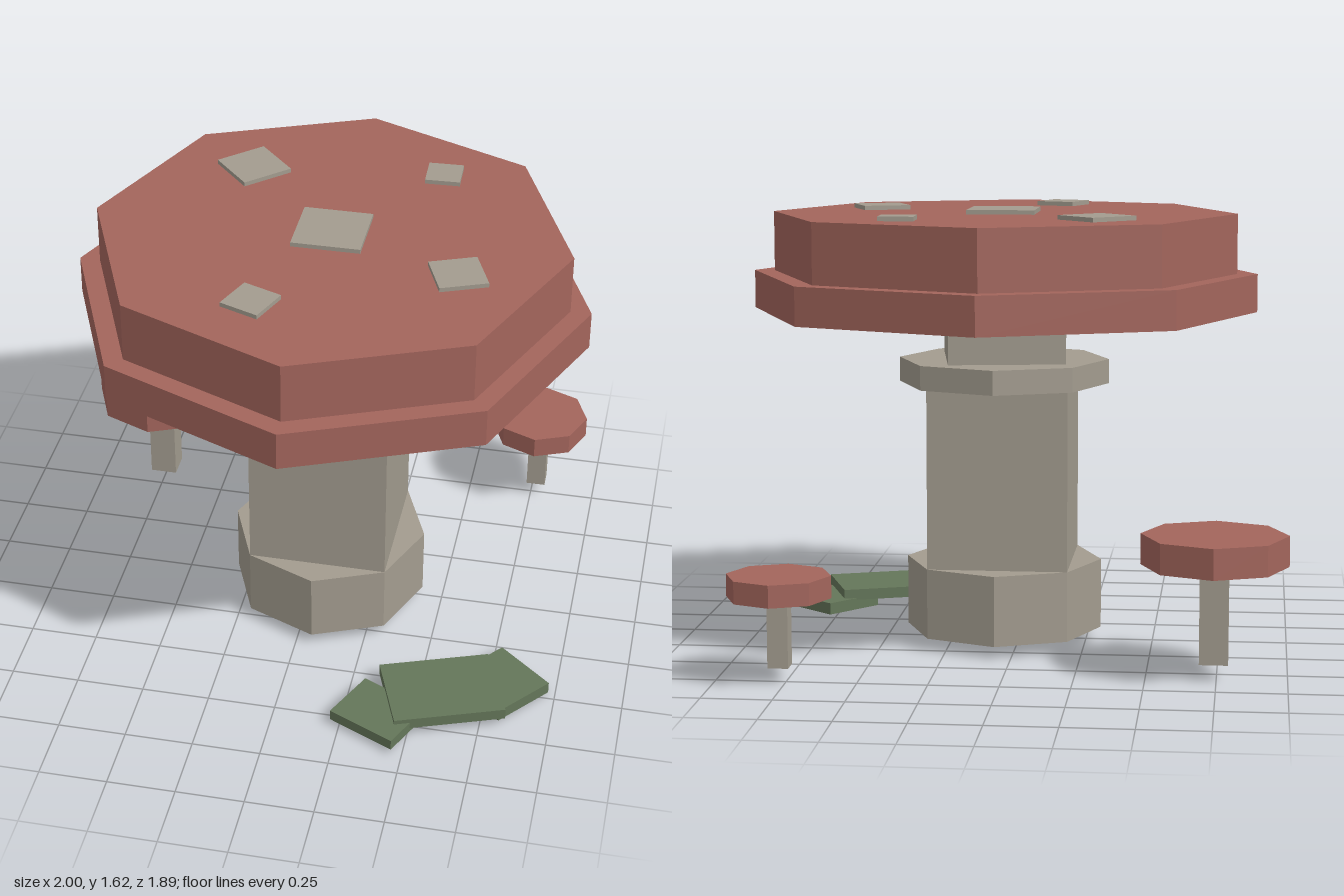
import * as THREE from 'three';

const mat = (name, color) => {
  const m = new THREE.MeshStandardMaterial({ color });
  m.name = name;
  return m;
};

export function createModel() {
  const red = mat('cap red', 0xa3655c);
  const stone = mat('stalk beige', 0xa39c8f);
  const green = mat('moss green', 0x647659);
  const black = mat('gill black', 0x0c0a0a);

  const root = new THREE.Group();
  root.name = 'mushrooms';

  const add = (parent, name, geo, material, x, y, z, turn = 0) => {
    const mesh = new THREE.Mesh(geo, material);
    mesh.name = name;
    mesh.position.set(x, y, z);
    mesh.rotation.y = turn;
    parent.add(mesh);
    return mesh;
  };
  // Eight-sided slab with sharp, flat sides, between two heights
  const slab = (parent, name, material, r, y0, y1) => {
    const geo = new THREE.CylinderGeometry(r, r, y1 - y0, 8).toNonIndexed();
    geo.computeVertexNormals();
    return add(parent, name, geo, material, 0, (y0 + y1) / 2, 0);
  };
  // Box between two heights
  const block = (parent, name, material, w, d, y0, y1, x = 0, z = 0, deg = 0) =>
    add(parent, name, new THREE.BoxGeometry(w, y1 - y0, d), material,
      x, (y0 + y1) / 2, z, THREE.MathUtils.degToRad(deg));
  const group = (name, x, z) => {
    const g = new THREE.Group();
    g.name = name;
    g.position.set(x, 0, z);
    root.add(g);
    return g;
  };

  // Large mushroom
  const big = group('largeMushroom', 0.06, 0.008);
  slab(big, 'base', stone, 0.365, 0.045, 0.305);
  block(big, 'stalk', stone, 0.515, 0.515, 0.305, 0.97);
  slab(big, 'ring', stone, 0.391, 0.97, 1.06);
  block(big, 'neck', stone, 0.43, 0.43, 1.06, 1.24, 0, 0, 9);
  slab(big, 'capRim', red, 0.935, 1.24, 1.38);
  slab(big, 'capTop', red, 0.86, 1.38, 1.6);

  // Radial gills on the underside of the cap
  for (let i = 0; i < 8; i++) {
    const a = THREE.MathUtils.degToRad(10 + 45 * i);
    const r = 0.485;
    add(big, 'gill', new THREE.BoxGeometry(0.024, 0.006, 0.57), black,
      Math.sin(a) * r, 1.237, Math.cos(a) * r, a);
  }

  // Square spots on the cap: x, z, size, turn
  const spots = [
    [0.06, 0.003, 0.25, 0], [-0.31, -0.387, 0.197, 43], [0.387, -0.467, 0.128, 2],
    [0.543, 0.205, 0.175, 22], [-0.12, 0.512, 0.15, -21],
  ];
  for (const [x, z, s, deg] of spots)
    block(root, 'capSpot', stone, s, s, 1.6, 1.616, x, z, deg);

  // Small mushrooms: x, z, cap radius, stalk width, cap bottom, cap top
  const small = [
    [-0.74, -0.553, 0.261, 0.102, 0.405, 0.515],
    [0.77, -0.76, 0.186, 0.073, 0.305, 0.385],
  ];
  for (const [x, z, r, w, y0, y1] of small) {
    const g = group('smallMushroom', x, z);
    block(g, 'smallStalk', stone, w, w, 0.058, y0);
    slab(g, 'smallCap', red, r, y0, y1);
  }

  // Overlapping moss slabs: width, depth, bottom, top, x, z, turn
  const moss = [
    [0.27, 0.22, 0.022, 0.063, 0.385, 0.752, -25],
    [0.41, 0.31, 0.038, 0.08, 0.596, 0.605, 20],
    [0.257, 0.248, 0, 0.045, 0.796, 0.478, -40],
  ];
  for (const m of moss) block(root, 'mossSlab', green, ...m);

  return root;
}
